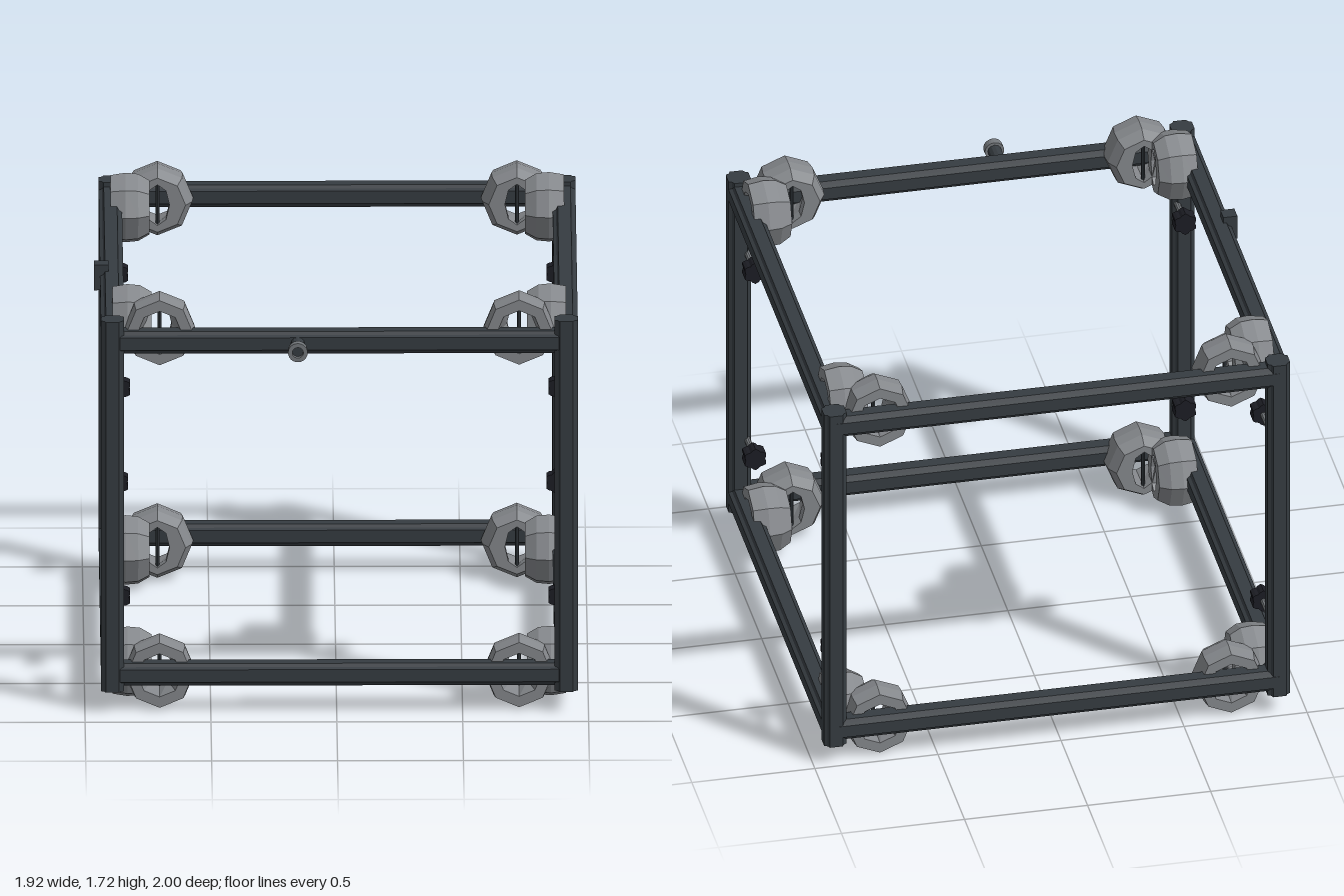
import * as THREE from 'three';

const mat = (name, color, flat = true) => {
  const m = new THREE.MeshStandardMaterial({ color, flatShading: flat });
  m.name = name;
  return m;
};

// Faceted surface from loops of 8 points, each loop given as [z, radiusX, radiusY]
function loftLoops(sections, closed) {
  const n = 8, pos = [], idx = [];
  for (const [z, rx, ry] of sections)
    for (let i = 0; i < n; i++) {
      const a = (i / n) * Math.PI * 2;
      pos.push(Math.cos(a) * rx, Math.sin(a) * ry, z);
    }
  const count = sections.length;
  for (let s = 0; s < (closed ? count : count - 1); s++)
    for (let i = 0; i < n; i++) {
      const a = s * n + i, b = s * n + (i + 1) % n;
      const c = ((s + 1) % count) * n + i, d = ((s + 1) % count) * n + (i + 1) % n;
      idx.push(a, b, d, a, d, c);
    }
  let g = new THREE.BufferGeometry();
  g.setAttribute('position', new THREE.Float32BufferAttribute(pos, 3));
  g.setIndex(idx);
  g = g.toNonIndexed();
  g.computeVertexNormals();
  return g;
}

// Frame bar: eight-sided profile with a shallow groove along each diagonal
function barGeometry(length) {
  const pts = [];
  for (let k = 0; k < 4; k++) {
    const a = (k * Math.PI) / 2, c = Math.cos(a), s = Math.sin(a);
    for (const [x, y] of [[0.046, -0.026], [0.046, 0.026], [0.033, 0.033]])
      pts.push(new THREE.Vector2(x * c - y * s, x * s + y * c));
  }
  const g = new THREE.ExtrudeGeometry(new THREE.Shape(pts), { depth: length, bevelEnabled: false });
  return g.translate(0, 0, -length / 2);
}

export function createModel() {
  const model = new THREE.Group();
  model.name = 'cubeFrame';
  const frame = mat('frame charcoal', 0x363c41);
  const grey = mat('bracket grey', 0x85888c);
  const black = mat('knob black', 0x1c1d24);
  const steel = mat('bolt steel', 0x74787c);

  const add = (name, geo, material, x, y, z, parent = model) => {
    const m = new THREE.Mesh(geo, material);
    m.name = name;
    m.position.set(x, y, z);
    parent.add(m);
    return m;
  };

  const X = [-0.89, 0.912], Z = [-0.953, 0.845], Y = [0.157, 1.573];
  const midX = 0.011, midZ = -0.054;

  // Upright posts
  const post = barGeometry(1.546).rotateX(Math.PI / 2);
  for (const x of X) for (const z of Z) add('post', post, frame, x, 0.863, z);

  // Cross rails and side rails; the upper front rail sits a little lower
  const crossRail = barGeometry(1.797).rotateY(Math.PI / 2);
  const sideRail = barGeometry(1.795);
  Y.forEach((y, level) => {
    Z.forEach((z, front) =>
      add('crossRail', crossRail, frame, midX, level && front ? 1.543 : y, front ? 0.839 : -0.954));
    for (const x of X) add('sideRail', sideRail, frame, x, y, midZ);
  });

  // Corner brackets: two hollow faceted cups with a tall slot and a pin
  const cup = loftLoops([
    [0, 0.132, 0.135], [0.06, 0.143, 0.145], [0.11, 0.138, 0.14], [0.155, 0.112, 0.113],
    [0.155, 0.048, 0.085], [0.115, 0.048, 0.085], [0, 0.088, 0.09],
  ], true);
  const pin = new THREE.CylinderGeometry(0.008, 0.008, 0.18, 8);
  const addCup = (parent, x, z, turn) => {
    const half = new THREE.Group();
    half.name = 'bracketCup';
    half.position.set(x, 0, z);
    half.rotation.y = turn;
    add('cupShell', cup, grey, 0, 0, 0, half);
    add('cupPin', pin, frame, 0, 0, 0.13, half);
    parent.add(half);
  };
  for (const y of [0.147, 1.577])
    X.forEach((x, right) => Z.forEach((z, front) => {
      const bracket = new THREE.Group();
      bracket.name = 'cornerBracket';
      bracket.position.y = y;
      const sx = right ? -1 : 1, sz = front ? -1 : 1;
      addCup(bracket, x + sx * 0.187, z, front ? Math.PI : 0);
      addCup(bracket, x, z + sz * 0.183, (sx * Math.PI) / 2);
      model.add(bracket);
    }));

  // Lobed clamp knobs on short stems, pointing inwards from the posts
  const lobes = [];
  for (let i = 0; i < 24; i++) {
    const a = (i / 24) * Math.PI * 2, r = 0.044 + 0.005 * Math.cos(a * 6);
    lobes.push(new THREE.Vector2(Math.sin(a) * -r, Math.cos(a) * r));
  }
  const knob = new THREE.ExtrudeGeometry(new THREE.Shape(lobes), { depth: 0.054, bevelEnabled: false })
    .translate(0, 0, -0.027);
  const stem = new THREE.CylinderGeometry(0.013, 0.013, 0.15, 10).rotateX(Math.PI / 2);
  for (const y of [0.427, 1.298])
    for (const x of [-0.863, 0.884])
      Z.forEach((z, front) => {
        const s = front ? -1 : 1;
        add('clampKnob', knob, black, x, y, z + s * 0.165);
        add('clampStem', stem, steel, x, y, z + s * 0.085);
      });

  // Socket bolt on the upper front rail
  const ring = new THREE.Shape().absarc(0, 0, 0.039, 0, Math.PI * 2, false);
  ring.holes.push(new THREE.Path().absarc(0, 0, 0.022, 0, Math.PI * 2, true));
  const head = new THREE.ExtrudeGeometry(ring, { depth: 0.033, bevelEnabled: false, curveSegments: 12 });
  add('boltHead', head, steel, -0.155, 1.543, 0.967);
  const shaft = new THREE.CylinderGeometry(0.028, 0.028, 0.11, 12).rotateX(Math.PI / 2);
  add('boltShaft', shaft, frame, -0.155, 1.543, 0.925);

  // Small block clipped on the side rail
  add('railClip', new THREE.BoxGeometry(0.057, 0.105, 0.058), frame, -0.931, 1.593, 0.153);

  return model;
}
